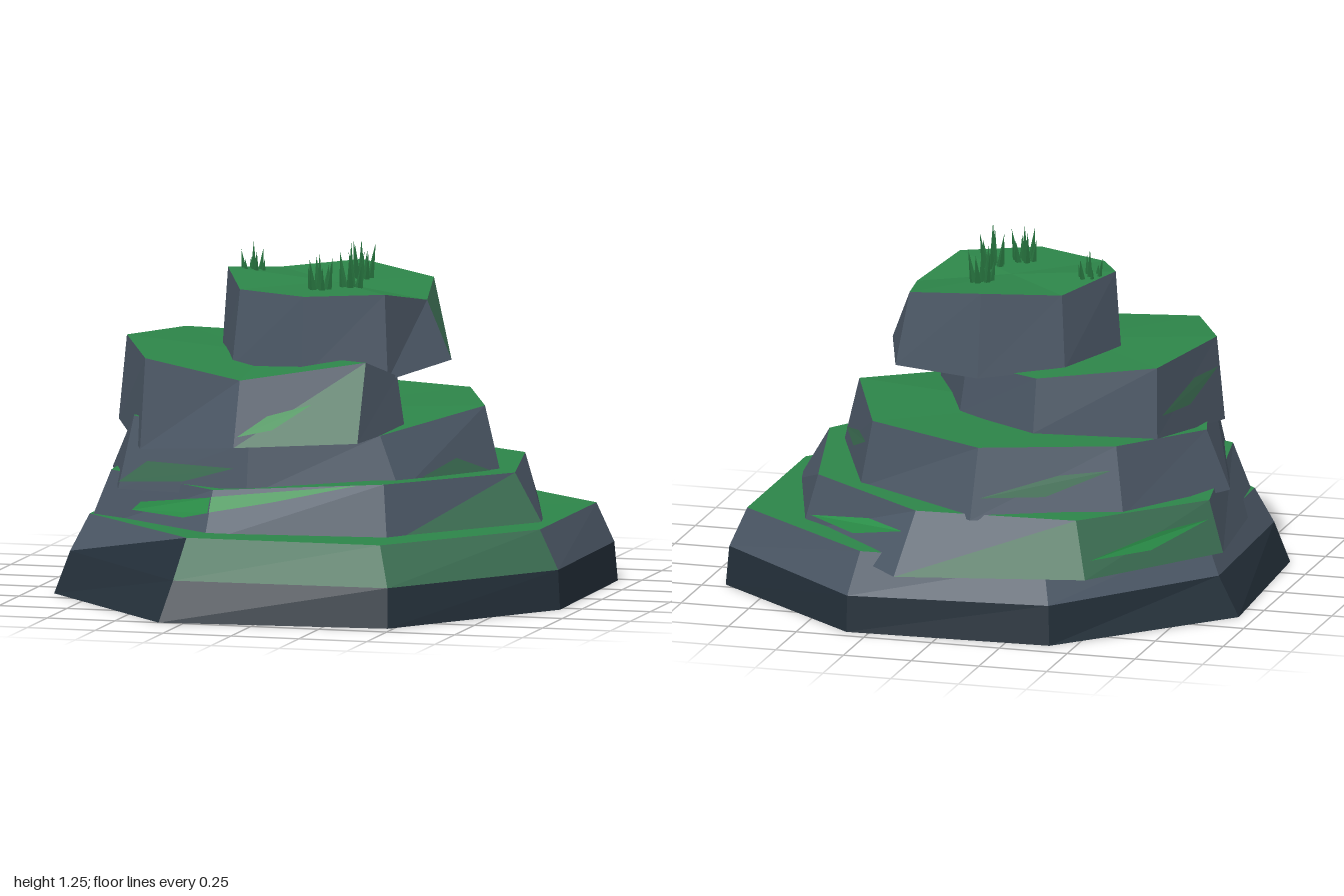
import * as THREE from 'three';

const mat = (name, color) => {
  const m = new THREE.MeshStandardMaterial({ color, flatShading: true });
  m.name = name;
  return m;
};

export function createModel() {
  const group = new THREE.Group();
  const M = {
    g: mat('rock grey', 0x4c5866),
    d: mat('dark wet rock', 0x24303a),
    m: mat('mossy rock', 0x3c6e53),
    t: mat('turf green', 0x2d8549),
    b: mat('bright moss', 0x2b9049),
    k: mat('grass blade', 0x27743f),
  };

  // One mesh per colour from a list of [material key, three corners]
  function addFaces(name, faces, parent = group) {
    const byKey = {};
    for (const [key, ...pts] of faces) (byKey[key] ??= []).push(...pts);
    for (const key in byKey) {
      const geo = new THREE.BufferGeometry().setFromPoints(byKey[key]);
      geo.computeVertexNormals();
      const mesh = new THREE.Mesh(geo, M[key]);
      mesh.name = name + ' ' + M[key].name;
      parent.add(mesh);
    }
  }

  // Rings are [x, y, z] corners, running from front-left past the front and +x to the back
  const ring = (pts) => pts.map((p) => new THREE.Vector3(...p));
  const centre = (r) => r.reduce((s, p) => s.add(p), new THREE.Vector3()).divideScalar(r.length);

  // Wall between two rings; two colour keys per side: lower then upper triangle
  function wall(bottom, top, keys) {
    const faces = [];
    bottom.forEach((b0, i) => {
      const j = (i + 1) % bottom.length;
      faces.push([keys[2 * i], b0, bottom[j], top[j]], [keys[2 * i + 1], b0, top[j], top[i]]);
    });
    return faces;
  }
  function cap(r, key, up) {
    const c = centre(r);
    return r.map((p, i) => {
      const q = r[(i + 1) % r.length];
      return up ? [key, c, p, q] : [key, c, q, p];
    });
  }

  // Thin stain following a wall side; u runs along the side, v runs up it
  function stain(name, bottom, top, i, key, uv) {
    const j = (i + 1) % bottom.length;
    const [b0, b1, t0, t1] = [bottom[i], bottom[j], top[i], top[j]];
    const along = (p, q, k) => q.clone().sub(p).multiplyScalar(k);
    const out = along(b0, b1, 1).cross(along(b0, t0, 1)).normalize().multiplyScalar(0.007);
    const pts = uv.map(([u, v]) => {
      const p = b0.clone().add(out);
      return u >= v ? p.add(along(b0, b1, u)).add(along(b1, t1, v))
        : p.add(along(b0, t0, v)).add(along(t0, t1, u));
    });
    const faces = [];
    for (let n = 1; n < pts.length - 1; n++) faces.push([key, pts[0], pts[n], pts[n + 1]]);
    addFaces(name, faces);
  }

  // Base: dark foot with a sloping upper band
  const foot = ring([[-0.34, 0, 1], [0.48, 0, 0.92], [0.93, 0, 0.29], [0.92, 0, -0.47],
    [0.33, 0, -0.95], [-0.41, 0, -0.92], [-0.94, 0, -0.36], [-0.9, 0, 0.4]]);
  const waist = ring([[-0.31, 0.14, 0.92], [0.47, 0.14, 0.89], [0.92, 0.14, 0.28], [0.91, 0.14, -0.46],
    [0.33, 0.13, -0.94], [-0.4, 0.14, -0.9], [-0.86, 0.14, -0.34], [-0.85, 0.15, 0.37]]);
  const shelf = ring([[-0.29, 0.28, 0.82], [0.42, 0.28, 0.81], [0.85, 0.28, 0.27], [0.85, 0.28, -0.44],
    [0.3, 0.28, -0.88], [-0.36, 0.27, -0.82], [-0.8, 0.27, -0.3], [-0.79, 0.28, 0.33]]);
  addFaces('base', [
    ...wall(foot, waist, 'dddddddddddddddd'),
    ...wall(waist, shelf, 'mmmmggggggggggdg'),
    ...cap(shelf, 't', true), ...cap(foot, 'd', false),
  ]);

  // Upper tiers, each an irregular eight-sided slab
  const tiers = {
    lowerTier: {
      bottom: [[-0.26, 0.25, 0.7], [0.39, 0.25, 0.62], [0.82, 0.25, 0.09], [0.62, 0.24, -0.53],
        [0.14, 0.23, -1], [-0.52, 0.23, -0.85], [-0.87, 0.22, -0.32], [-0.8, 0.22, 0.33]],
      top: [[-0.26, 0.42, 0.59], [0.36, 0.46, 0.56], [0.7, 0.45, 0.07], [0.57, 0.44, -0.5],
        [0.11, 0.43, -0.83], [-0.46, 0.42, -0.76], [-0.81, 0.4, -0.29], [-0.71, 0.44, 0.33]],
      keys: 'ggmgggggmgmmgggg',
    },
    middleTier: {
      bottom: [[-0.14, 0.4, 0.58], [0.38, 0.41, 0.42], [0.62, 0.42, -0.03], [0.4, 0.42, -0.55],
        [-0.09, 0.41, -0.83], [-0.58, 0.4, -0.58], [-0.83, 0.39, -0.1], [-0.65, 0.39, 0.45]],
      top: [[-0.14, 0.59, 0.55], [0.3, 0.61, 0.4], [0.56, 0.67, -0.03], [0.36, 0.66, -0.53],
        [-0.09, 0.65, -0.73], [-0.53, 0.63, -0.5], [-0.74, 0.6, -0.09], [-0.6, 0.65, 0.42]],
      keys: 'gggggggggggggggg',
    },
    upperTier: {
      bottom: [[-0.17, 0.58, 0.64], [0.26, 0.6, 0.55], [0.34, 0.62, 0.23], [0.12, 0.64, -0.26],
        [-0.22, 0.65, -0.49], [-0.63, 0.62, -0.33], [-0.75, 0.59, 0.1], [-0.56, 0.54, 0.48]],
      top: [[-0.17, 0.81, 0.56], [0.25, 0.87, 0.41], [0.31, 0.8, 0.22], [0.1, 0.82, -0.24],
        [-0.22, 0.84, -0.45], [-0.62, 0.87, -0.3], [-0.72, 0.89, 0.1], [-0.55, 0.86, 0.45]],
      keys: 'mggggggggggggggg',
    },
    summit: {
      bottom: [[0.01, 0.8, 0.4], [0.29, 0.79, 0.27], [0.44, 0.83, -0.02], [0.33, 0.82, -0.35],
        [0, 0.82, -0.44], [-0.28, 0.84, -0.3], [-0.4, 0.85, -0.01], [-0.28, 0.82, 0.28]],
      top: [[0.01, 1.09, 0.37], [0.27, 1.09, 0.24], [0.35, 1.04, -0.02], [0.29, 1.08, -0.31],
        [0, 1.12, -0.4], [-0.26, 1.1, -0.27], [-0.38, 1.13, -0.01], [-0.26, 1.09, 0.25]],
      keys: 'gggggmgggggggggg',
    },
  };
  for (const [name, t] of Object.entries(tiers)) {
    t.bottom = ring(t.bottom);
    t.top = ring(t.top);
    addFaces(name, [...wall(t.bottom, t.top, t.keys), ...cap(t.top, 't', true), ...cap(t.bottom, 'd', false)]);
  }

  // Moss stains: tier, side, colour key, outline
  const lens = [[0.05, 0.3], [0.5, 0.3], [0.95, 0.65], [0.6, 0.6]];
  const stains = [
    ['lowerTier', 7, 'b', [[0.35, 0.45], [0.8, 0.42], [1, 0.55], [1, 0.85], [0.4, 0.6]]],
    ['lowerTier', 0, 'b', [[0, 0.55], [0.35, 0.7], [0.85, 0.98], [0, 0.85]]],
    ['lowerTier', 3, 'b', lens],
    ['lowerTier', 5, 'b', lens],
    ['middleTier', 2, 'm', lens],
    ['middleTier', 1, 'm', [[0.1, 0.1], [0.9, 0.1], [0.6, 0.35]]],
    ['middleTier', 4, 'm', lens],
    ['middleTier', 7, 'm', [[0, 0.1], [0.5, 0.2], [0.9, 0.5], [0.2, 0.45]]],
    ['upperTier', 0, 'b', [[0.02, 0.15], [0.3, 0.2], [0.6, 0.5], [0.25, 0.4]]],
    ['upperTier', 5, 'm', lens],
  ];
  for (const [tier, side, key, uv] of stains) {
    stain('moss stain', tiers[tier].bottom, tiers[tier].top, side, key, uv);
  }

  // Grass tufts: a ring of leaning blades around a taller one
  const blade = new THREE.ConeGeometry(0.014, 1, 4).translate(0, 0.5, 0);
  const spots = [[-0.3, -0.06, 0.13], [0.07, -0.15, 0.14], [0.1, 0.08, 0.16], [0.01, 0.17, 0.13]];
  spots.forEach(([x, z, h], s) => {
    const tuft = new THREE.Group();
    tuft.name = 'grassTuft';
    tuft.position.set(x, 1.08, z);
    for (let i = 0; i < 7; i++) {
      const a = i * 1.05 + s * 0.7;
      const r = i ? 0.03 : 0;
      const mesh = new THREE.Mesh(blade, M.k);
      mesh.name = 'grassBlade';
      mesh.position.set(Math.cos(a) * r, 0, Math.sin(a) * r);
      mesh.scale.y = i ? h * (0.6 + 0.12 * ((i * 2 + s) % 4)) : h * 1.05;
      mesh.rotation.set(Math.sin(a) * r * 5, 0, -Math.cos(a) * r * 5);
      tuft.add(mesh);
    }
    group.add(tuft);
  });

  return group;
}
